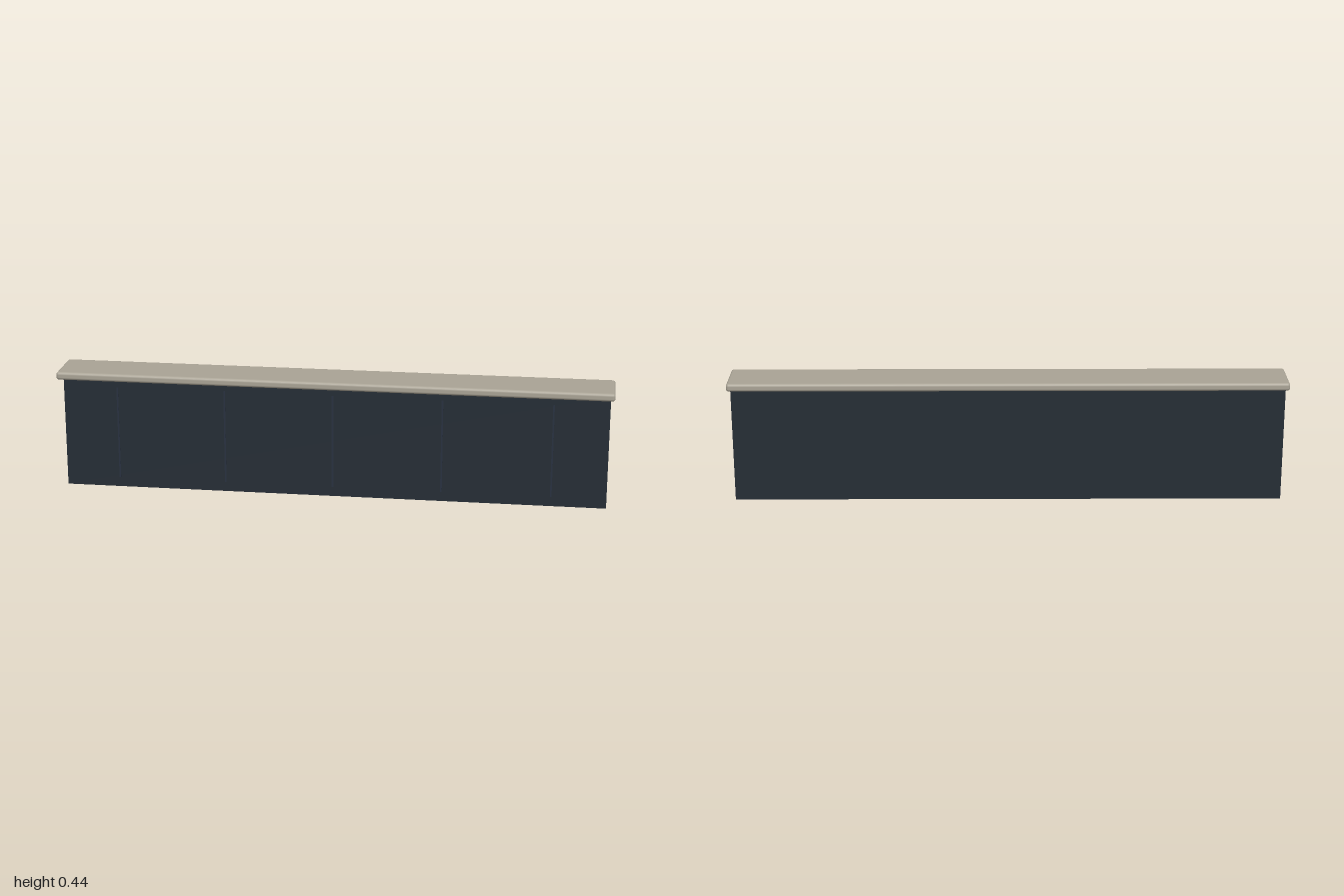
import * as THREE from 'three';
import { RoundedBoxGeometry } from 'three/addons/geometries/RoundedBoxGeometry.js';

export function createModel() {
  const model = new THREE.Group();
  model.name = 'barCounter';

  const bodyMaterial = new THREE.MeshStandardMaterial({ color: 0x252d35 });
  const seamMaterial = new THREE.MeshStandardMaterial({ color: 0x283140 });
  const topMaterial = new THREE.MeshStandardMaterial({ color: 0xaaa496 });

  const add = (name, geometry, material, x, y, z) => {
    const mesh = new THREE.Mesh(geometry, material);
    mesh.name = name;
    mesh.position.set(x, y, z);
    model.add(mesh);
  };

  // Body, set back under the worktop
  add('body', new THREE.BoxGeometry(1.972, 0.417, 0.109), bodyMaterial, 0, 0.2085, -0.0185);

  // Worktop with rounded edges
  add('worktop', new RoundedBoxGeometry(2, 0.029, 0.177, 4, 0.01), topMaterial, 0, 0.4305, 0);

  // Thin raised strips dividing the front into panels
  const strip = new THREE.BoxGeometry(0.006, 0.346, 0.004);
  for (let i = -2; i <= 2; i++) {
    add('panelStrip', strip, seamMaterial, i * 0.394, 0.208, 0.0355);
  }

  return model;
}
